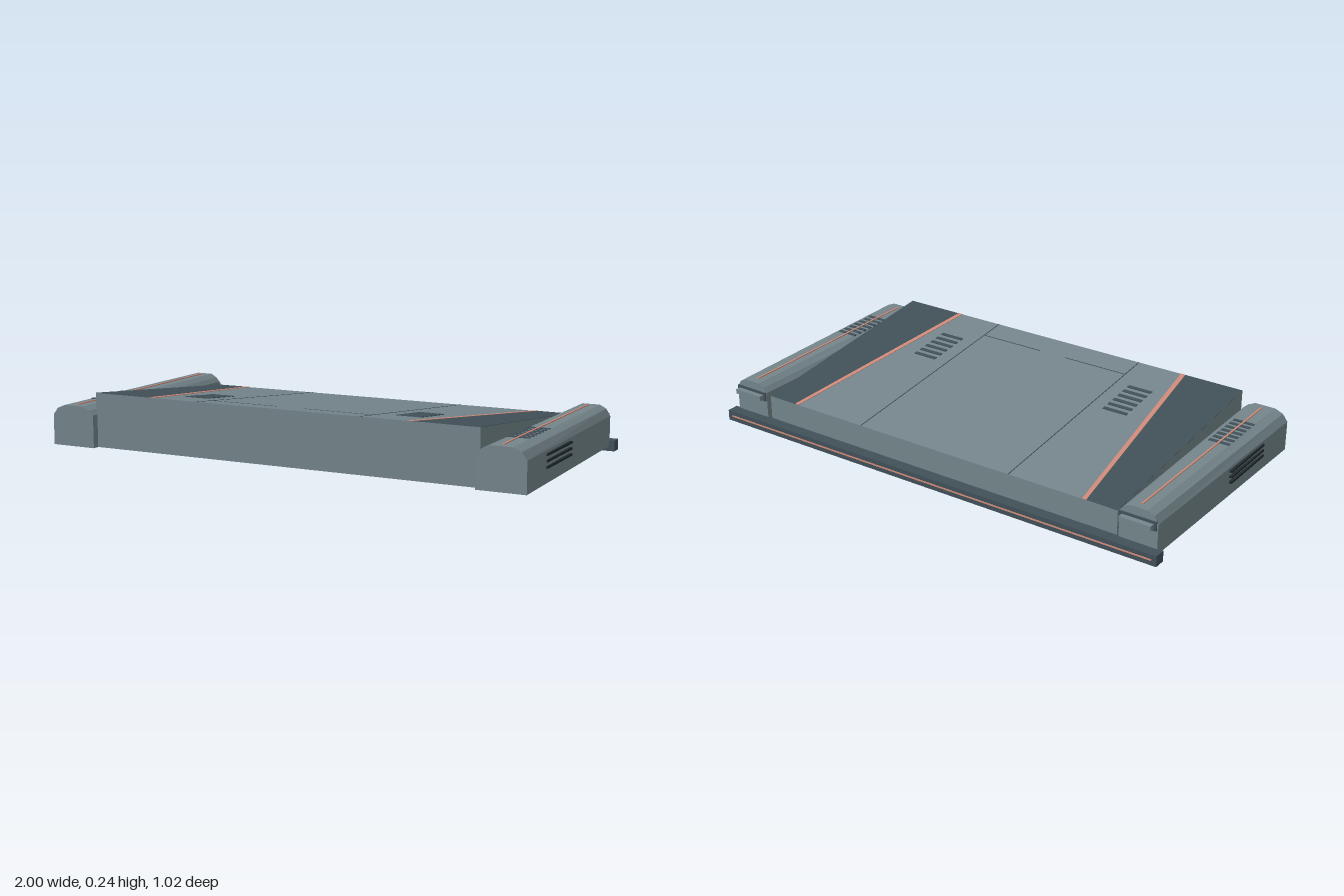
import * as THREE from 'three';

const mat = (name, color) => {
  const m = new THREE.MeshStandardMaterial({ color });
  m.name = name;
  return m;
};

export function createModel() {
  const grey = mat('hull grey', 0x74858b);
  const dark = mat('dark slate', 0x415058);
  const black = mat('vent black', 0x20292d);
  const orange = mat('faded orange', 0xcf8a78);
  const model = new THREE.Group();
  model.name = 'model';

  const add = (parent, name, geometry, material) => {
    const mesh = new THREE.Mesh(geometry, material);
    mesh.name = name;
    parent.add(mesh);
    return mesh;
  };
  // box given by its limits on each axis
  const box = (parent, name, material, [x0, x1], [y0, y1], [z0, z1]) => {
    const mesh = add(parent, name, new THREE.BoxGeometry(Math.abs(x1 - x0), y1 - y0, z1 - z0), material);
    mesh.position.set((x0 + x1) / 2, (y0 + y1) / 2, (z0 + z1) / 2);
    return mesh;
  };
  // thin plate lying on a plane, outlined by [x, z] points
  const plate = (parent, name, material, points, thickness) => {
    const shape = new THREE.Shape(points.map(([x, z]) => new THREE.Vector2(x, z)));
    const geometry = new THREE.ExtrudeGeometry(shape, { depth: thickness, bevelEnabled: false });
    geometry.rotateX(Math.PI / 2).translate(0, thickness, 0);
    return add(parent, name, geometry, material);
  };

  // wedge body: top rises towards the front
  const slope = 0.105, deckY = 0.185;
  const bodyGeo = new THREE.BoxGeometry(1.62, 0.2, 0.935).translate(0, 0.12, 0.0125);
  const p = bodyGeo.attributes.position;
  for (let i = 0; i < p.count; i++) {
    if (p.getY(i) > 0.1) p.setY(i, deckY + slope * p.getZ(i));
  }
  bodyGeo.computeVertexNormals();
  add(model, 'body', bodyGeo, grey);

  // sloped frame for everything painted on the deck
  const deck = new THREE.Group();
  deck.name = 'deck';
  deck.position.y = deckY;
  deck.rotation.x = -Math.atan(slope);
  model.add(deck);

  const podBack = -0.465, podFront = 0.51, podX = 0.9;
  for (const s of [1, -1]) {
    const side = s > 0 ? 'left' : 'right';
    const X = (a, b) => [s * a, s * b];

    // deck paint, panel lines and vents
    plate(deck, side + 'DarkPanel', dark,
      [[s * 0.67, -0.457], [s * 0.81, -0.457], [s * 0.81, 0.482], [s * 0.545, 0.482]], 0.001);
    plate(deck, side + 'DeckStripe', orange,
      [[s * 0.663, -0.457], [s * 0.68, -0.457], [s * 0.558, 0.482], [s * 0.538, 0.482]], 0.002);
    box(deck, side + 'PanelLine', dark, X(0.343, 0.347), [0, 0.001], [-0.457, 0.482]);
    box(deck, side + 'CrossLine', dark, X(0.06, 0.345), [0, 0.001], [0.37, 0.374]);
    for (let i = 0; i < 6; i++) {
      const z = 0.102 + i * 0.037;
      box(deck, side + 'DeckVent', dark, X(0.405, 0.51), [0, 0.003], [z, z + 0.016]);
    }

    // side pod, narrowing towards the back
    const section = [[-0.095, 0.02], [-0.095, 0.15], [-0.075, 0.168], [-0.045, 0.182], [0.04, 0.182],
      [0.074, 0.168], [0.095, 0.14], [0.095, 0.02]];
    const podShape = new THREE.Shape(section.map(([x, y]) => new THREE.Vector2(s * x, y)));
    const podGeo = new THREE.ExtrudeGeometry(podShape, { depth: podFront - podBack, bevelEnabled: false });
    podGeo.translate(0, 0, podBack);
    const q = podGeo.attributes.position;
    for (let i = 0; i < q.count; i++) {
      const t = (q.getZ(i) - podBack) / (podFront - podBack);
      q.setX(i, s * podX + q.getX(i) * (0.82 + 0.18 * t));
    }
    podGeo.computeVertexNormals();
    add(model, side + 'Pod', podGeo, grey);

    // pod top stripe and louvres
    box(model, side + 'PodStripe', orange, X(0.892, 0.899), [0.181, 0.186], [-0.435, 0.48]);
    for (let i = 0; i < 7; i++) {
      const z = 0.124 + i * 0.033;
      box(model, side + 'PodLouvre', dark, X(0.853, 0.938), [0.178, 0.1845], [z, z + 0.016]);
    }
    // slots on the outer wall
    for (const y of [0.079, 0.102, 0.125]) {
      box(model, side + 'SideSlot', black, X(0.975, 0.998), [y - 0.004, y + 0.004], [0.045, 0.31]);
    }
    // rear nozzle and underside pad
    box(model, side + 'NozzlePlate', dark, X(0.825, 0.973), [0.114, 0.15], [-0.471, -0.46]);
    box(model, side + 'Nozzle', grey, X(0.835, 0.963), [0.122, 0.141], [-0.493, -0.471]);
    box(model, side + 'UndersidePad', orange, X(0.85, 0.95), [0.017, 0.022], [-0.38, -0.24]);
  }

  // rear bumper with its stripe
  box(model, 'rearBar', dark, [-1, 1], [0, 0.043], [-0.508, -0.46]);
  box(model, 'rearBarStripe', orange, [-0.98, 0.98], [0.019, 0.025], [-0.51, -0.506]);

  return model;
}
